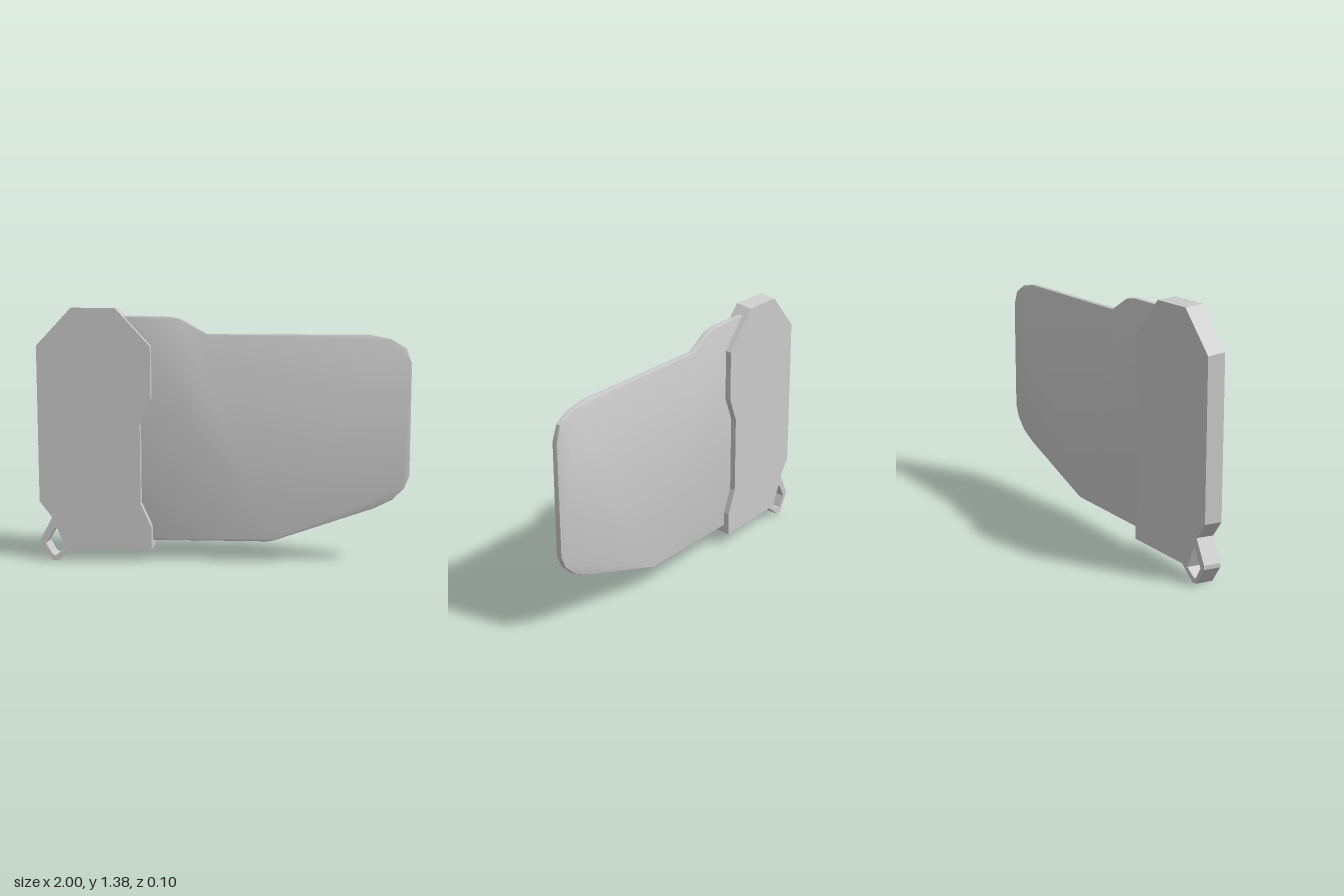
import * as THREE from 'three';
import { toCreasedNormals } from 'three/addons/utils/BufferGeometryUtils.js';

const points = (list) => list.map(([x, y]) => new THREE.Vector2(x, y));

// Extrude an outline symmetrically about z = 0
function slab(outline, halfDepth, bevel = 0, hole = null) {
  const shape = new THREE.Shape(points(outline));
  if (hole) shape.holes.push(new THREE.Path(points(hole)));
  const depth = 2 * (halfDepth - bevel);
  const geometry = new THREE.ExtrudeGeometry(shape, {
    depth,
    bevelEnabled: bevel > 0,
    bevelThickness: bevel,
    bevelSize: bevel,
    bevelOffset: -bevel,
    bevelSegments: 2,
  });
  return geometry.translate(0, 0, -depth / 2);
}

export function createModel() {
  const model = new THREE.Group();
  const material = new THREE.MeshStandardMaterial({ color: 0xcccccc });

  // Thin blade with rounded corners and a raised shoulder by the handle
  const bladeOutline = [
    [-0.5, 0.118], [0.233, 0.118], [0.27, 0.123], [0.302, 0.134],
    [0.81, 0.31], [0.906, 0.358], [0.97, 0.422], [0.998, 0.492],
    [0.998, 1.1], [0.967, 1.182], [0.885, 1.23], [0.773, 1.251],
    [-0.088, 1.251], [-0.163, 1.294], [-0.2, 1.316], [-0.235, 1.332],
    [-0.297, 1.342], [-0.532, 1.342], [-0.55, 1.32],
  ];
  const blade = new THREE.Mesh(toCreasedNormals(slab(bladeOutline, 0.017, 0.008), 0.65), material);
  blade.name = 'blade';
  model.add(blade);

  // Thick faceted handle with a lanyard lug at its lower corner
  const handleOutline = [
    [-1, 0.335], [-0.933, 0.246], [-0.998, 0.122], [-0.998, 0.1],
    [-0.933, 0.006], [-0.905, 0.004], [-0.815, 0.075], [-0.39, 0.075],
    [-0.39, 0.2], [-0.448, 0.33], [-0.448, 0.762], [-0.39, 0.9],
    [-0.39, 1.18], [-0.575, 1.383], [-0.81, 1.383], [-1, 1.18],
  ];
  const lugHole = [
    [-0.922, 0.187], [-0.906, 0.182], [-0.858, 0.07],
    [-0.917, 0.032], [-0.933, 0.037], [-0.97, 0.1],
  ];
  const geometry = slab(handleOutline, 0.052, 0, lugHole);

  // Lean the side walls slightly and thin the handle toward its outer edge
  const position = geometry.attributes.position;
  for (let i = 0; i < position.count; i++) {
    const x = position.getX(i), y = position.getY(i), z = position.getZ(i);
    const taper = THREE.MathUtils.mapLinear(x, -1, -0.39, 0.88, 1);
    const lean = y > 1 ? 0.1 * z : 0;
    position.setXYZ(i, x + 0.005 - 0.1 * z, y + lean, z * taper);
  }
  const handle = new THREE.Mesh(toCreasedNormals(geometry, 0.2), material);
  handle.name = 'handle';
  model.add(handle);

  return model;
}
